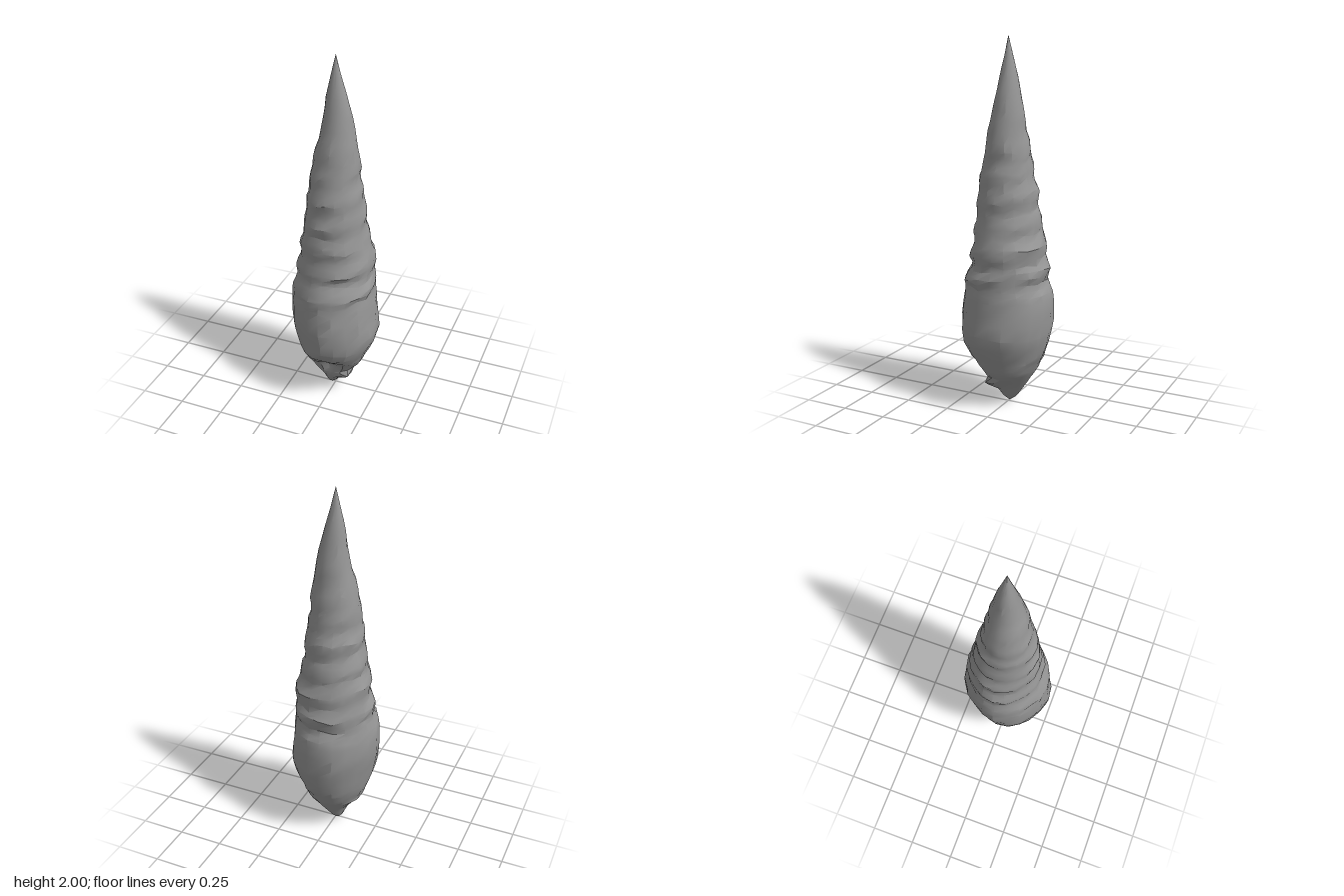
import * as THREE from 'three';
import { toCreasedNormals } from 'three/addons/utils/BufferGeometryUtils.js';

// Outline rows: height, then reach towards -x, +x, -z, +z
const OUTLINE = [
  [0, 0.015, -0.015, 0, 0],
  [0.03, 0.045, 0.015, 0.045, 0.04],
  [0.11, 0.08, 0.07, 0.1, 0.09],
  [0.2, 0.16, 0.16, 0.16, 0.15],
  [0.3, 0.2, 0.205, 0.21, 0.23],
  [0.4, 0.225, 0.25, 0.24, 0.255],
  [0.5, 0.242, 0.24, 0.25, 0.258],
  [0.6, 0.25, 0.23, 0.255, 0.25],
  [0.7, 0.23, 0.225, 0.222, 0.235],
  [0.8, 0.212, 0.217, 0.22, 0.203],
  [0.9, 0.198, 0.215, 0.207, 0.185],
  [1.0, 0.185, 0.18, 0.185, 0.178],
  [1.1, 0.163, 0.167, 0.167, 0.168],
  [1.2, 0.153, 0.16, 0.16, 0.158],
  [1.3, 0.138, 0.14, 0.132, 0.145],
  [1.4, 0.127, 0.13, 0.125, 0.12],
  [1.5, 0.105, 0.12, 0.1, 0.108],
  [1.6, 0.077, 0.1, 0.09, 0.082],
  [1.7, 0.062, 0.08, 0.07, 0.06],
  [1.8, 0.048, 0.052, 0.05, 0.042],
  [1.9, 0.024, 0.024, 0.024, 0.02],
  [2, 0, 0, 0, 0],
];
const SIDES = 20;

function seeded(seed) {
  return () => {
    seed = (seed * 16807) % 2147483647;
    return seed / 2147483647 - 0.5;
  };
}

function reachAt(y) {
  let i = 0;
  while (i < OUTLINE.length - 2 && OUTLINE[i + 1][0] < y) i++;
  const a = OUTLINE[i], b = OUTLINE[i + 1];
  const t = (y - a[0]) / (b[0] - a[0]);
  return [1, 2, 3, 4].map((k) => THREE.MathUtils.lerp(a[k], b[k], t));
}

// Smooth bump around an angle and a height
function bump(angle, y, angle0, y0, angleWidth, yWidth) {
  const d = Math.atan2(Math.sin(angle - angle0), Math.cos(angle - angle0));
  return Math.exp(-((d / angleWidth) ** 2) - ((y - y0) / yWidth) ** 2);
}

// Ring heights: fine at the opening and the ridges, coarse on the smooth body and the tip
function ringHeights() {
  const heights = [];
  for (const [from, to, count] of [[0, 0.3, 11], [0.3, 0.62, 5], [0.62, 1.4, 24], [1.4, 2, 11]]) {
    for (let i = 0; i < count; i++) heights.push(from + ((to - from) * i) / count);
  }
  return [...heights, 2];
}

function shellGeometry() {
  const random = seeded(417);
  const heights = ringHeights();
  const last = heights.length - 1;
  const positions = [], indices = [];
  heights.forEach((ringY, j) => {
    const jitter = j > 0 && j < last ? 1 : 0;
    for (let i = 0; i < SIDES; i++) {
      const a = (i / SIDES) * Math.PI * 2;
      const y = ringY + random() * 0.018 * jitter;
      const [right, left, back, front] = reachAt(y);
      // Spiral ridges of varying depth, fading towards both ends
      const fade = THREE.MathUtils.smoothstep(y, 0.58, 0.75) * (1 - THREE.MathUtils.smoothstep(y, 1.2, 1.9));
      const depth = 0.035 + 0.018 * Math.sin(a * 3 + y * 7);
      const ridge = Math.sin((y / 0.135) * Math.PI * 2 - a) * depth * fade;
      // Opening at the lower front with a lip on the left
      const opening = -0.38 * bump(a, y, 0.1, 0.2, 0.42, 0.075);
      const lip = 0.55 * bump(a, y, 1, 0.12, 0.4, 0.03);
      // Flattened sides of the body
      const flats = -0.07 * bump(a, y, -0.62, 0.5, 0.4, 0.3) - 0.06 * bump(a, y, -2.2, 0.5, 0.4, 0.3);
      const s = 1 + ridge + opening + lip + flats + random() * 0.04 * jitter;
      positions.push(
        (left - right) / 2 + Math.sin(a) * ((left + right) / 2) * s,
        y,
        (front - back) / 2 + Math.cos(a) * ((front + back) / 2) * s
      );
      const p = j * SIDES + i, q = j * SIDES + ((i + 1) % SIDES);
      if (j > 0 && j < last) indices.push(p, q, q + SIDES);
      if (j < last - 1) indices.push(p, q + SIDES, p + SIDES);
    }
  });
  const geometry = new THREE.BufferGeometry();
  geometry.setAttribute('position', new THREE.Float32BufferAttribute(positions, 3));
  geometry.setIndex(indices);
  return toCreasedNormals(geometry, 0.45);
}

export function createModel() {
  const group = new THREE.Group();
  group.name = 'spireShell';
  const material = new THREE.MeshStandardMaterial({ color: 0x959595 });
  const shell = new THREE.Mesh(shellGeometry(), material);
  shell.name = 'shell';
  group.add(shell);
  return group;
}
